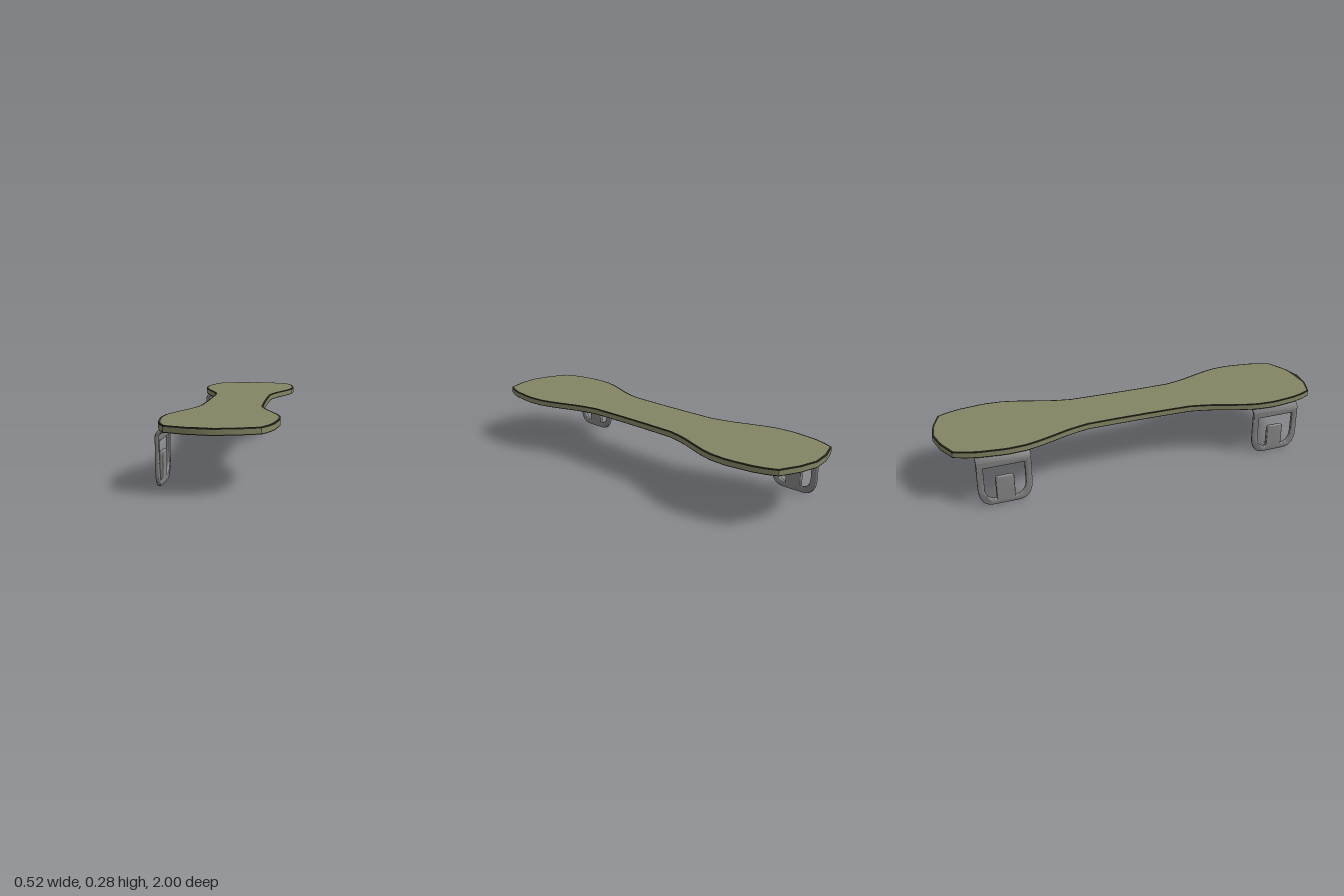
import * as THREE from 'three';
import { toCreasedNormals } from 'three/addons/utils/BufferGeometryUtils.js';

const BEVEL = 0.005, THICK = 0.017, HALF = 0.13;

// Quarter outline of the deck as [x, z], from the tip to the waist
const QUARTER = [[0, 1], [0.1, 0.982], [0.2, 0.942], [0.225, 0.89], [0.243, 0.83], [0.257, 0.73], [0.26, 0.69],
  [0.255, 0.61], [0.24, 0.55], [0.216, 0.48], [0.182, 0.39], [0.165, 0.33], [0.152, 0.27], [0.149, 0.1]];

// Full deck outline, moved inwards by the given distance
function outline(inset) {
  const half = [...QUARTER, ...QUARTER.map(([x, z]) => [x, -z]).reverse()];
  const left = half.slice(1, -1).map(([x, z]) => [-x, z]).reverse();
  const pts = [...half, ...left].map(([x, z]) => new THREE.Vector2(x, z));
  const n = pts.length;
  return pts.map((p, i) => {
    const dir = pts[(i + 1) % n].clone().sub(pts[(i + n - 1) % n]).normalize();
    return new THREE.Vector2(p.x + dir.y * inset, p.y - dir.x * inset);
  });
}

// Flat layer of the deck between two heights, optionally hollow
function layer(name, material, y0, y1, inset, holeInset) {
  const shape = new THREE.Shape(outline(inset));
  if (holeInset) shape.holes.push(new THREE.Path(outline(holeInset)));
  const geo = new THREE.ExtrudeGeometry(shape, { depth: y1 - y0, bevelEnabled: false });
  geo.rotateX(Math.PI / 2).translate(0, y1, 0);
  const mesh = new THREE.Mesh(toCreasedNormals(geo, 0.6), material);
  mesh.name = name;
  return mesh;
}

// Extrusion with softly rounded edges, filling z = 0 to depth
function softExtrude(shape, depth) {
  const geo = new THREE.ExtrudeGeometry(shape, {
    depth: depth - 2 * BEVEL, bevelThickness: BEVEL, bevelSize: BEVEL,
    bevelOffset: -BEVEL, bevelSegments: 3, curveSegments: 8,
  });
  geo.translate(0, 0, BEVEL);
  return toCreasedNormals(geo, 0.9);
}

// U-shaped loop with a window, tip at y = 0; the tab rises into the window
function loopGeometry(withTab) {
  const top = 0.22 + BEVEL, s = new THREE.Shape();
  s.moveTo(-HALF, top);
  s.lineTo(-HALF, 0.09);
  s.bezierCurveTo(-HALF, 0.035, -0.105, 0, -0.06, 0);
  s.lineTo(0.06, 0);
  s.bezierCurveTo(0.105, 0, HALF, 0.035, HALF, 0.09);
  s.lineTo(HALF, top);
  const h = new THREE.Path();
  h.moveTo(0.098, 0.198);
  h.lineTo(0.098, 0.09);
  h.bezierCurveTo(0.098, 0.055, 0.08, 0.032, 0.05, 0.03);
  if (withTab) {
    h.lineTo(0.045, 0.03);
    h.lineTo(0.045, 0.13);
    h.quadraticCurveTo(0.045, 0.145, 0.03, 0.145);
    h.lineTo(-0.03, 0.145);
    h.quadraticCurveTo(-0.045, 0.145, -0.045, 0.13);
    h.lineTo(-0.045, 0.03);
  }
  h.lineTo(-0.05, 0.03);
  h.bezierCurveTo(-0.08, 0.032, -0.098, 0.055, -0.098, 0.09);
  h.lineTo(-0.098, 0.198);
  s.holes.push(h);
  return softExtrude(s, THICK);
}

// Curved bend joining the hanging loop to the mounting loop
function bendGeometry() {
  const c = 0.22, outer = 0.035, inner = outer - THICK, s = new THREE.Shape();
  s.moveTo(-c - inner, c - BEVEL);
  s.lineTo(-c - inner, c);
  s.absarc(-c, c, inner, Math.PI, Math.PI / 2, true);
  s.lineTo(-c + BEVEL, c + inner);
  s.lineTo(-c + BEVEL, c + outer);
  s.lineTo(-c, c + outer);
  s.absarc(-c, c, outer, Math.PI / 2, Math.PI, false);
  s.lineTo(-c - outer, c - BEVEL);
  return softExtrude(s, 2 * HALF).translate(0, 0, -HALF);
}

function bracket(name, material, z) {
  const group = new THREE.Group();
  group.name = name;
  const parts = {
    hangingLoop: loopGeometry(true).rotateY(-Math.PI / 2).translate(-0.238, 0, 0),
    mountingLoop: loopGeometry(false).rotateZ(Math.PI / 2).rotateX(Math.PI / 2).translate(-0.003, 0.255, 0),
    bend: bendGeometry(),
  };
  for (const [part, geo] of Object.entries(parts)) {
    const mesh = new THREE.Mesh(geo, material);
    mesh.name = part;
    group.add(mesh);
  }
  group.position.z = z;
  return group;
}

export function createModel() {
  const olive = new THREE.MeshStandardMaterial({ name: 'olive', color: 0x848464 });
  const dark = new THREE.MeshStandardMaterial({ name: 'dark edge', color: 0x2c2c22 });
  const metal = new THREE.MeshStandardMaterial({ name: 'grey metal', color: 0x808080 });
  const model = new THREE.Group();
  model.name = 'board';

  // Deck: olive plates with a thin dark rim along the top and bottom edges
  model.add(
    layer('deckBottom', olive, 0.255, 0.259, 0.004),
    layer('bottomRim', dark, 0.255, 0.259, 0, 0.004),
    layer('deckCore', olive, 0.259, 0.279, 0),
    layer('topRim', dark, 0.279, 0.285, 0, 0.009),
    layer('deckTop', olive, 0.279, 0.285, 0.009),
  );

  // Two brackets hang from the right edge
  model.add(bracket('frontBracket', metal, 0.72), bracket('backBracket', metal, -0.72));
  return model;
}
